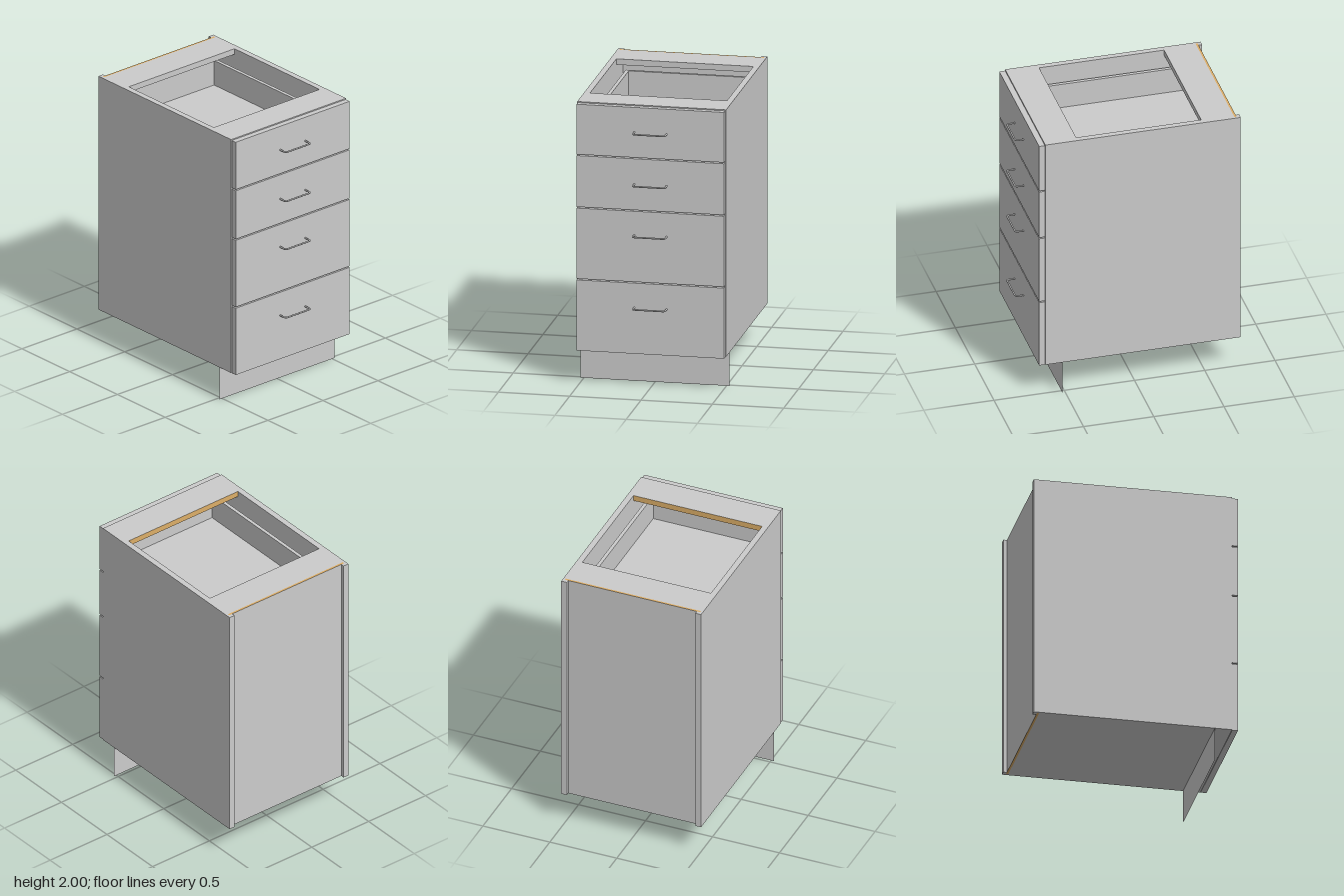
import * as THREE from 'three';

const grey = new THREE.MeshStandardMaterial({ color: 0xcccccc });
const wood = new THREE.MeshStandardMaterial({ color: 0xdcae68 });
const sheet = new THREE.MeshStandardMaterial({ color: 0xcccccc, side: THREE.DoubleSide });

// Box given by its extents on each axis
function panel(name, [x0, x1], [y0, y1], [z0, z1], material = grey) {
  const mesh = new THREE.Mesh(new THREE.BoxGeometry(x1 - x0, y1 - y0, z1 - z0), material);
  mesh.position.set((x0 + x1) / 2, (y0 + y1) / 2, (z0 + z1) / 2);
  mesh.name = name;
  return mesh;
}

// U-shaped bar pull with rounded corners
function handle(y) {
  const w = 0.113, r = 0.018, back = 0.683, front = 0.741;
  const v = (x, z) => new THREE.Vector3(x, 0, z);
  const path = new THREE.CurvePath();
  path.add(new THREE.LineCurve3(v(-w, back), v(-w, front - r)));
  path.add(new THREE.QuadraticBezierCurve3(v(-w, front - r), v(-w, front), v(-w + r, front)));
  path.add(new THREE.LineCurve3(v(-w + r, front), v(w - r, front)));
  path.add(new THREE.QuadraticBezierCurve3(v(w - r, front), v(w, front), v(w, front - r)));
  path.add(new THREE.LineCurve3(v(w, front - r), v(w, back)));
  const mesh = new THREE.Mesh(new THREE.TubeGeometry(path, 80, 0.006, 12), grey);
  mesh.position.y = y;
  mesh.name = 'handle';
  return mesh;
}

// Drawer: front board, pull and open-topped box
function drawer(y0, y1, handleY, boxHeight) {
  const group = new THREE.Group();
  group.name = 'drawer';
  const b = y0 + 0.03, t = b + boxHeight;
  group.add(panel('drawerFront', [-0.517, 0.517], [y0, y1], [0.642, 0.683]));
  group.add(handle(handleY));
  for (const s of [-1, 1]) {
    const x = s < 0 ? [-0.45, -0.425] : [0.425, 0.45];
    group.add(panel('drawerSide', x, [b, t], [-0.655, 0.64]));
  }
  group.add(panel('drawerBottom', [-0.425, 0.425], [b, b + 0.025], [-0.63, 0.625]));
  group.add(panel('drawerBack', [-0.425, 0.425], [b, t], [-0.655, -0.63]));
  group.add(panel('drawerInnerFront', [-0.425, 0.425], [b, t], [0.625, 0.64]));
  return group;
}

export function createModel() {
  const cabinet = new THREE.Group();
  cabinet.name = 'drawerCabinet';

  // Carcass sides, grooved at the back edge to take the back panel
  for (const s of [-1, 1]) {
    const shape = new THREE.Shape([
      [0.48, 0.64], [0.522, 0.64], [0.522, -0.75], [0.48, -0.75],
      [0.48, -0.725], [0.505, -0.725], [0.505, -0.71], [0.48, -0.71],
    ].map(([x, z]) => new THREE.Vector2(s * x, -z)));
    const geometry = new THREE.ExtrudeGeometry(shape, { depth: 1.76, bevelEnabled: false });
    geometry.rotateX(-Math.PI / 2);
    const side = new THREE.Mesh(geometry, grey);
    side.position.y = 0.24;
    side.name = s < 0 ? 'rightSide' : 'leftSide';
    cabinet.add(side);
  }

  // Base, back with bare wood edges, and the two top rails
  cabinet.add(panel('base', [-0.48, 0.48], [0.24, 0.282], [-0.71, 0.64]));
  cabinet.add(panel('backPanel', [-0.505, 0.505], [0.24, 2], [-0.725, -0.71],
    [wood, wood, wood, wood, grey, grey]));
  cabinet.add(panel('rearRail', [-0.48, 0.48], [1.958, 2], [-0.71, -0.48]));
  cabinet.add(panel('frontRail', [-0.48, 0.48], [1.958, 2], [0.41, 0.64],
    [grey, grey, grey, grey, grey, wood]));

  // Drawers: bottom, top, handle height, box height
  for (const d of [
    [1.636, 1.993, 1.815, 0.21],
    [1.262, 1.627, 1.445, 0.21],
    [0.75, 1.253, 1.083, 0.35],
    [0.238, 0.741, 0.567, 0.35],
  ]) cabinet.add(drawer(...d));

  // Thin recessed toe kick
  const kick = new THREE.Mesh(new THREE.PlaneGeometry(1.044, 0.24), sheet);
  kick.position.set(0, 0.12, 0.52);
  kick.name = 'toeKick';
  cabinet.add(kick);

  return cabinet;
}
